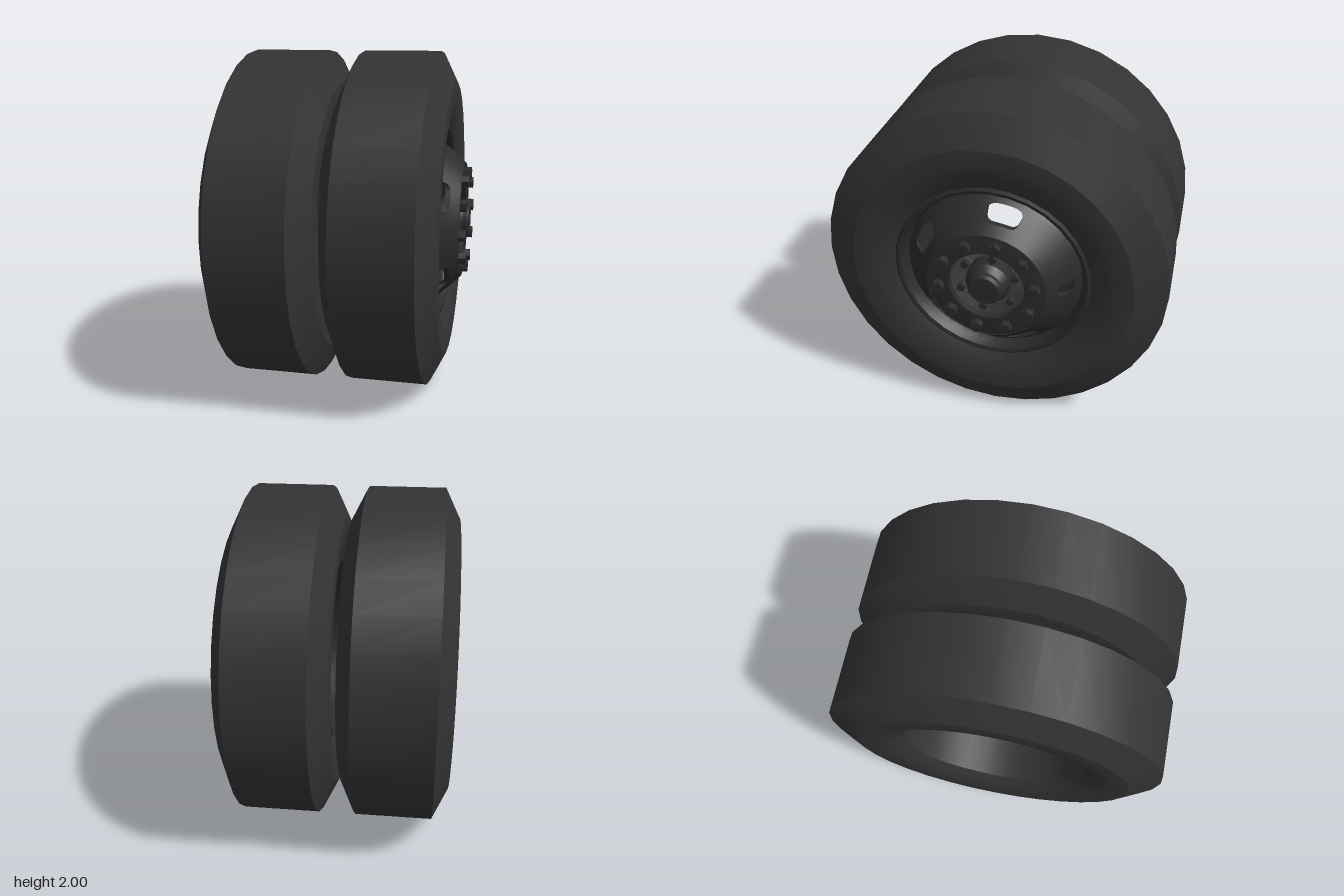
import * as THREE from 'three';
import { toCreasedNormals } from 'three/addons/utils/BufferGeometryUtils.js';

const tyreMat = new THREE.MeshStandardMaterial({ color: 0x333333, side: THREE.DoubleSide });
tyreMat.name = 'tyre rubber';
const rimMat = new THREE.MeshStandardMaterial({ color: 0x2b2b2b, side: THREE.DoubleSide });
rimMat.name = 'dark rim';

const rad = THREE.MathUtils.degToRad;

function add(parent, name, geometry, material) {
  const mesh = new THREE.Mesh(geometry, material);
  mesh.name = name;
  parent.add(mesh);
  return mesh;
}

// Spins a profile of [radius, x] pairs around the x axis
function spin(profile, segments, crease = 0.4) {
  const g = new THREE.LatheGeometry(profile.map(([r, x]) => new THREE.Vector2(r, x)), segments);
  g.rotateZ(-Math.PI / 2);
  return toCreasedNormals(g, crease);
}

// Closed tyre section, symmetric about its middle plane
function tyreGeometry() {
  const half = [[1, 0.225], [0.82, 0.315], [0.74, 0.32], [0.66, 0.305], [0.59, 0.275], [0.555, 0.25]];
  const back = half.map(([r, x]) => [r, -x]).reverse();
  return spin([...back, ...half, back[0]], 32);
}

// Conical dish in five sectors, each a blend from a square border to a rounded slot
function dishGeometry() {
  const sectors = 5, perSide = 8, n = perSide * 4, layers = 4;
  const coneX = r => 0.61 - (r - 0.40) * 1.05;
  const pos = [], index = [];
  for (let s = 0; s < sectors; s++) {
    const centre = rad(7 + 72 * s), base = pos.length / 3;
    for (let l = 0; l <= layers + 1; l++) {
      const t = Math.min(l / layers, 1);
      for (let i = 0; i < n; i++) {
        const k = (i % perSide) / perSide * 2 - 1;
        const [u, v] = [[k, -1], [1, k], [-k, 1], [-1, -k]][Math.floor(i / perSide)];
        const q = Math.pow(u ** 4 + v ** 4, 0.25);
        const angle = centre + THREE.MathUtils.lerp(u * rad(36), u / q * rad(12.5), t);
        const r = THREE.MathUtils.lerp(0.43 + v * 0.085, 0.435 + v / q * 0.042, t);
        // The last layer turns inward as the wall of the slot
        const x = coneX(r) - (l > layers ? 0.03 : 0);
        pos.push(x, r * Math.sin(angle), -r * Math.cos(angle));
      }
    }
    for (let l = 0; l <= layers; l++) {
      for (let i = 0; i < n; i++) {
        const a = base + l * n + i, b = base + l * n + (i + 1) % n;
        index.push(a, b, a + n, b, b + n, a + n);
      }
    }
  }
  const g = new THREE.BufferGeometry();
  g.setAttribute('position', new THREE.Float32BufferAttribute(pos, 3));
  g.setIndex(index);
  return toCreasedNormals(g, 0.6);
}

// Ring of hexagonal heads pointing along x
function boltRing(parent, name, count, start, ringR, headR, x, length) {
  const geo = new THREE.CylinderGeometry(headR, headR, length, 6).toNonIndexed();
  geo.rotateZ(-Math.PI / 2);
  geo.computeVertexNormals();
  for (let i = 0; i < count; i++) {
    const a = rad(start) + i / count * Math.PI * 2;
    const bolt = add(parent, name, geo, rimMat);
    bolt.position.set(x, ringR * Math.sin(a), -ringR * Math.cos(a));
    bolt.rotation.x = a;
  }
}

export function createModel() {
  const model = new THREE.Group();
  model.name = 'dualWheel';

  const tyreGeo = tyreGeometry();
  add(model, 'outerTyre', tyreGeo, tyreMat).position.x = 0.285;
  add(model, 'innerTyre', tyreGeo, tyreMat).position.x = -0.385;

  const rim = new THREE.Group();
  rim.name = 'rim';
  model.add(rim);

  // Lip and barrel around the dish
  add(rim, 'rimBarrel', spin([
    [0.545, 0], [0.515, 0.04], [0.515, 0.49], [0.53, 0.53], [0.54, 0.56], [0.56, 0.565], [0.575, 0.555], [0.57, 0.53],
  ], 32), rimMat);
  add(rim, 'dish', dishGeometry(), rimMat);

  // Raised mounting ring with an open centre
  add(rim, 'mountingRing', spin([
    [0.22, 0.62], [0.22, 0.663], [0.32, 0.663], [0.345, 0.655], [0.35, 0.655],
  ].reverse(), 32), rimMat);
  boltRing(rim, 'wheelNut', 10, 6.5, 0.28, 0.037, 0.683, 0.044);
  boltRing(rim, 'hubBolt', 6, 20, 0.168, 0.025, 0.625, 0.03);

  // Central hub cap
  add(rim, 'hubCap', spin([
    [0, 0.54], [0.13, 0.54], [0.13, 0.63], [0.1, 0.67], [0.1, 0.69], [0.085, 0.705], [0, 0.705],
  ], 16), rimMat);

  // Sit the wheels on the ground
  model.children.forEach(part => { part.position.y = 1; });
  return model;
}
